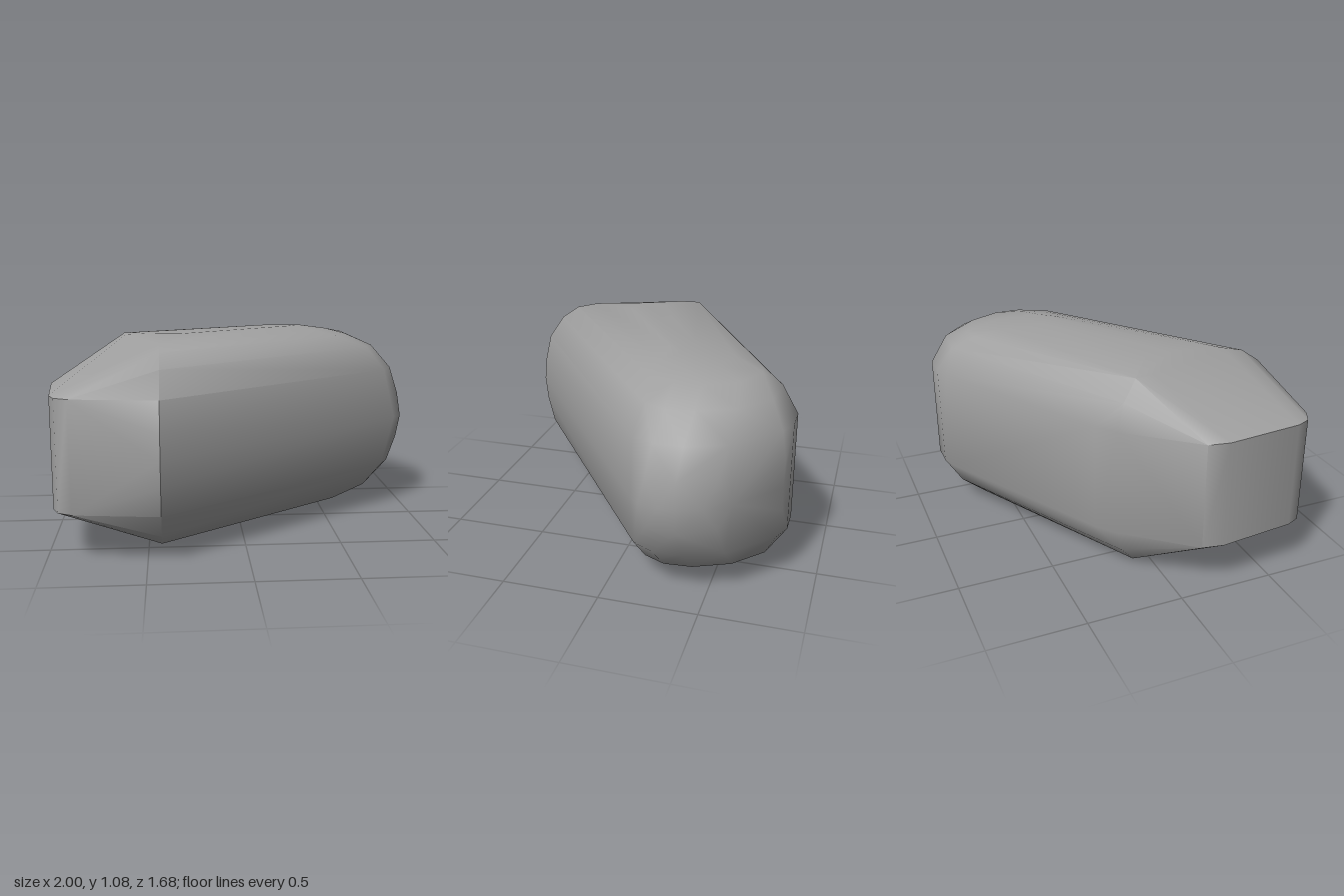
import * as THREE from 'three';
import { toCreasedNormals } from 'three/addons/utils/BufferGeometryUtils.js';
import { ConvexGeometry } from 'three/addons/geometries/ConvexGeometry.js';

const HEIGHT = 1.075;

// Horizontal outlines (x, z) of the body from the middle up to the flat top
const LEVELS = [
  { y: HEIGHT / 2, outline: [[-0.43, 0.84], [0.93, -0.15], [0.98, -0.2], [1, -0.3], [1, -0.38], [0.96, -0.5], [0.87, -0.62], [0.64, -0.82]] },
  { y: 0.67, outline: [[-0.43, 0.826], [0.9, -0.15], [0.965, -0.23], [0.98, -0.38], [0.9, -0.56], [0.62, -0.82]] },
  { y: 0.82, outline: [
    [-0.43, 0.79], [-0.86, 0.73], [-0.93, 0.69], [-0.96, 0.62], [-1, 0.22], [-0.98, 0.11],
    [-0.7, -0.22], [-0.6, -0.3], [0.31, -0.81], [0.39, -0.84], [0.53, -0.84], [0.62, -0.8],
    [0.84, -0.59], [0.92, -0.4], [0.92, -0.25], [0.86, -0.14]] },
  { y: 0.95, outline: [[-0.43, 0.7], [0.76, -0.17], [0.81, -0.28], [0.8, -0.42], [0.72, -0.6], [0.57, -0.74], [0.36, -0.755], [-0.59, -0.22], [-0.67, -0.18]] },
  { y: 1.02, outline: [[-0.43, 0.6], [0.57, -0.13], [0.65, -0.28], [0.65, -0.42], [0.57, -0.58], [0.4, -0.66], [0.3, -0.64], [-0.56, -0.165]] },
  { y: 1.05, outline: [[-0.63, -0.1], [-0.62, 0], [-0.43, 0.48], [0.45, -0.16], [0.53, -0.3], [0.45, -0.46], [0.28, -0.5]] },
  { y: HEIGHT, outline: [[-0.43, 0.2], [-0.3, 0.22], [0.3, -0.17], [0.37, -0.25], [0.2, -0.27], [-0.41, 0.06]] },
];

export function createModel() {
  const group = new THREE.Group();
  const grey = new THREE.MeshStandardMaterial({ color: 0xa0a0a0 });
  grey.name = 'stone grey';

  // The lower half mirrors the upper half
  const points = [];
  for (const { y, outline } of LEVELS) {
    for (const [x, z] of outline) {
      points.push(new THREE.Vector3(x, y, z));
      if (y > HEIGHT / 2) points.push(new THREE.Vector3(x, HEIGHT - y, z));
    }
  }

  // Smooth skin, with a crease only where the end facet meets the flank
  const body = new THREE.Mesh(toCreasedNormals(new ConvexGeometry(points), 0.7), grey);
  body.name = 'body';
  group.add(body);
  return group;
}
